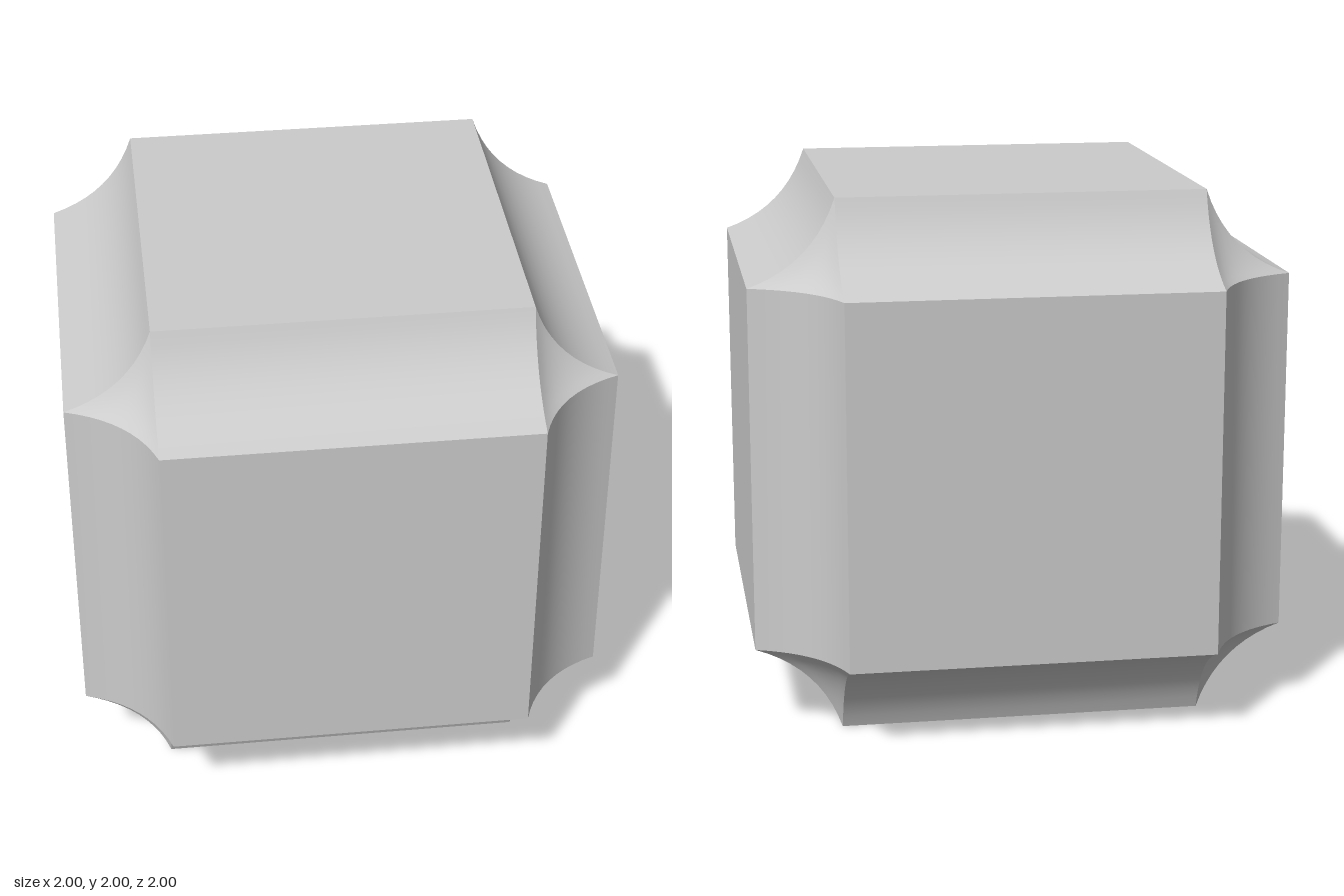
import * as THREE from 'three';

const FLAT = 0.68;   // half width of each flat face
const SAG = 0.04;    // inward bow of the hollow bevel along each axis
const STEPS = 10;
const material = new THREE.MeshStandardMaterial({ color: 0xcccccc });

// Indexed smooth surface whose triangles are all turned away from the centre
function outwardSurface(points, triangles) {
  const ab = new THREE.Vector3(), ac = new THREE.Vector3();
  const index = triangles.flatMap(([a, b, c]) => {
    ab.subVectors(points[b], points[a]);
    ac.subVectors(points[c], points[a]);
    return ab.cross(ac).dot(points[a]) < 0 ? [a, c, b] : [a, b, c];
  });
  const geometry = new THREE.BufferGeometry().setFromPoints(points);
  geometry.setIndex(index);
  geometry.computeVertexNormals();
  return geometry;
}

// Hollow strip along one axis, between two neighbouring faces
function edgeGeometry(axis, signB, signC) {
  const points = [], triangles = [];
  const b = (axis + 1) % 3, c = (axis + 2) % 3;
  for (let i = 0; i <= STEPS; i++) {
    const t = i / STEPS, bow = 4 * SAG * t * (1 - t);
    for (const end of [-FLAT, FLAT]) {
      const p = new THREE.Vector3();
      p.setComponent(axis, end);
      p.setComponent(b, signB * (1 + (FLAT - 1) * t - bow));
      p.setComponent(c, signC * (FLAT + (1 - FLAT) * t - bow));
      points.push(p);
    }
    if (i < STEPS) {
      const k = 2 * i;
      triangles.push([k, k + 1, k + 2], [k + 1, k + 3, k + 2]);
    }
  }
  return outwardSurface(points, triangles);
}

// Hollow three-sided patch joining three strips, from barycentric weights
function cornerGeometry(sx, sy, sz) {
  const points = [], triangles = [];
  const d = 1 - FLAT, q = 4 * SAG;
  for (let i = 0; i <= STEPS; i++) {
    for (let j = 0; j <= i; j++) {
      const u = 1 - i / STEPS, v = j / STEPS, w = 1 - u - v;
      points.push(new THREE.Vector3(
        sx * (FLAT + d * u - q * u * (v + w)),
        sy * (FLAT + d * v - q * v * (u + w)),
        sz * (FLAT + d * w - q * w * (u + v))));
      if (i < STEPS) {
        const here = i * (i + 1) / 2 + j, below = here + i + 1;
        triangles.push([here, below, below + 1]);
        if (j < i) triangles.push([here, below + 1, here + 1]);
      }
    }
  }
  return outwardSurface(points, triangles);
}

export function createModel() {
  const model = new THREE.Group();
  model.name = 'hollowBevelledCube';
  const body = new THREE.Group();
  body.name = 'body';
  body.position.y = 1;
  model.add(body);

  const add = (name, geometry) => {
    const mesh = new THREE.Mesh(geometry, material);
    mesh.name = name;
    body.add(mesh);
    return mesh;
  };

  // Six flat faces
  const faces = {
    frontFace: [0, 0, 1], backFace: [0, 0, -1], leftFace: [1, 0, 0],
    rightFace: [-1, 0, 0], topFace: [0, 1, 0], bottomFace: [0, -1, 0],
  };
  for (const [name, normal] of Object.entries(faces)) {
    const face = add(name, new THREE.PlaneGeometry(2 * FLAT, 2 * FLAT));
    face.position.set(...normal);
    face.quaternion.setFromUnitVectors(new THREE.Vector3(0, 0, 1), face.position);
  }

  // Twelve hollow edges and eight hollow corners
  for (const s of [-1, 1]) {
    for (const t of [-1, 1]) {
      for (let axis = 0; axis < 3; axis++) add('hollowEdge', edgeGeometry(axis, s, t));
      for (const r of [-1, 1]) add('hollowCorner', cornerGeometry(r, s, t));
    }
  }
  return model;
}
